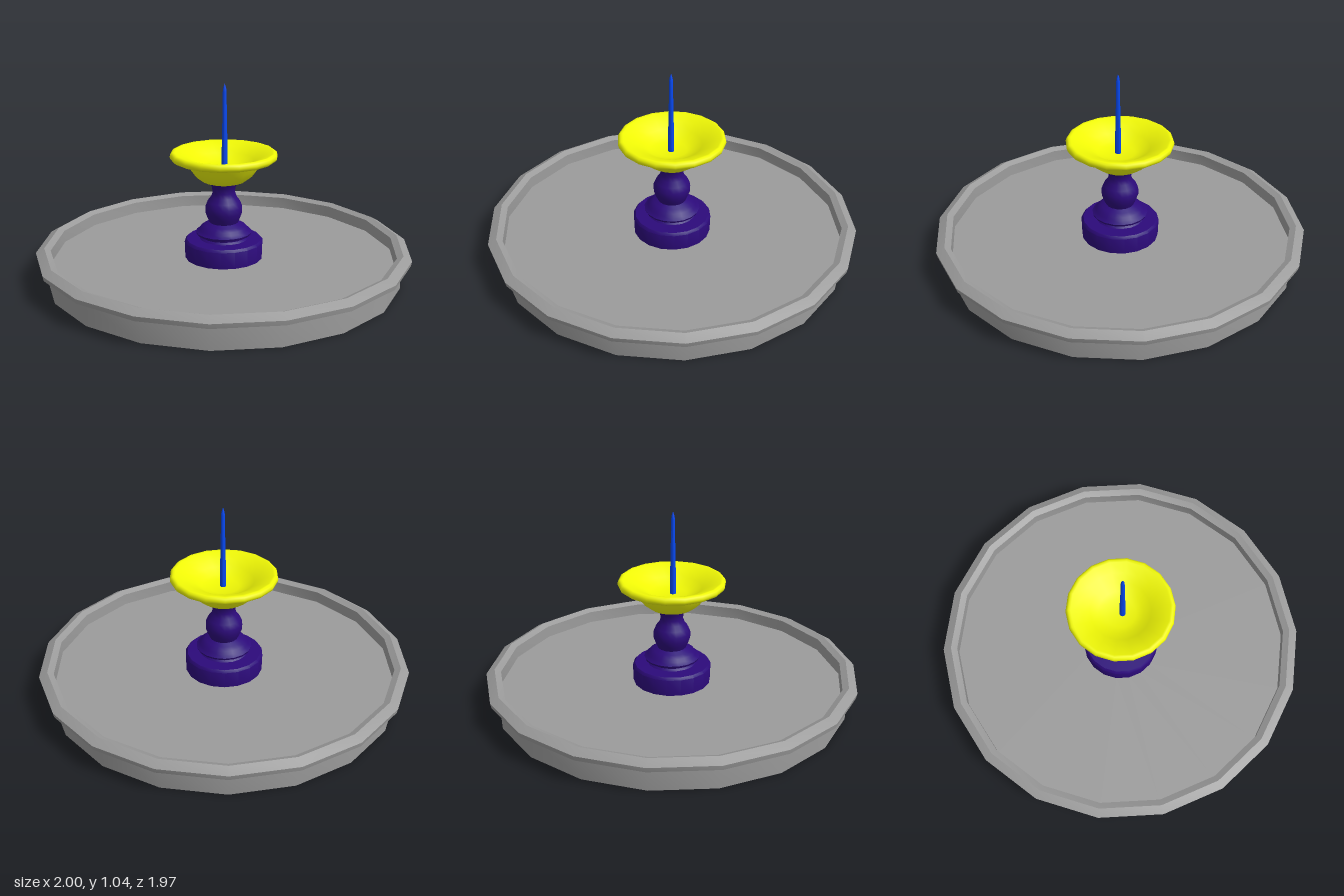
import * as THREE from 'three';
import { toCreasedNormals } from 'three/addons/utils/BufferGeometryUtils.js';

const SIDES = 18;

// Turned part: profile of [radius, height] pairs, outer face first, with a corner on the +x axis
function turned(name, profile, color, crease = 0.6, sides = SIDES) {
  const points = profile.map(([r, y]) => new THREE.Vector2(r, y));
  const lathe = new THREE.LatheGeometry(points, sides, Math.PI / 2, Math.PI * 2);
  const material = new THREE.MeshStandardMaterial({ color, side: THREE.DoubleSide });
  const mesh = new THREE.Mesh(toCreasedNormals(lathe, crease), material);
  mesh.name = name;
  return mesh;
}

export function createModel() {
  const fountain = new THREE.Group();
  fountain.name = 'fountain';

  // Wide basin: hollow skirt, overhanging chamfered rim, raised floor with a hole for the pedestal
  fountain.add(turned('basin', [
    [0.945, 0], [0.945, 0.115], [0.995, 0.13], [1, 0.155], [0.955, 0.18],
    [0.922, 0.165], [0.92, 0.1], [0.205, 0.1],
  ], 0x9b9b9b, 0.45));

  // Pedestal: open drum foot, moulded ring, bulb and neck
  fountain.add(turned('pedestal', [
    [0.208, 0.1], [0.211, 0.19], [0.2, 0.203], [0.13, 0.205], [0.12, 0.215],
    [0.122, 0.226], [0.145, 0.23], [0.15, 0.242], [0.13, 0.255], [0.122, 0.27],
    [0.1, 0.283], [0.077, 0.295], [0.088, 0.32], [0.099, 0.35], [0.099, 0.38],
    [0.087, 0.41], [0.068, 0.435], [0.06, 0.46], [0.063, 0.49], [0.08, 0.52],
  ], 0x2c0a7a, 0.75));

  // Upper bowl: curved underside, rounded lip, dished inside
  fountain.add(turned('bowl', [
    [0, 0.515], [0.085, 0.515], [0.115, 0.525], [0.152, 0.553], [0.18, 0.592], [0.208, 0.638],
    [0.27, 0.639], [0.281, 0.647], [0.285, 0.66], [0.281, 0.674], [0.27, 0.682], [0.258, 0.68],
    [0.205, 0.66], [0.16, 0.635], [0.12, 0.61], [0.08, 0.599], [0, 0.596],
  ], 0xf0f806, 0.9));

  // Slender water jet tapering to a point
  const jet = turned('waterJet', [
    [0.016, 0.59], [0.015, 0.72], [0.012, 0.85], [0.01, 1.0], [0.008, 1.02], [0, 1.045],
  ], 0x0648f0, 0.9, 12);
  jet.position.z = 0.01;
  fountain.add(jet);

  return fountain;
}
